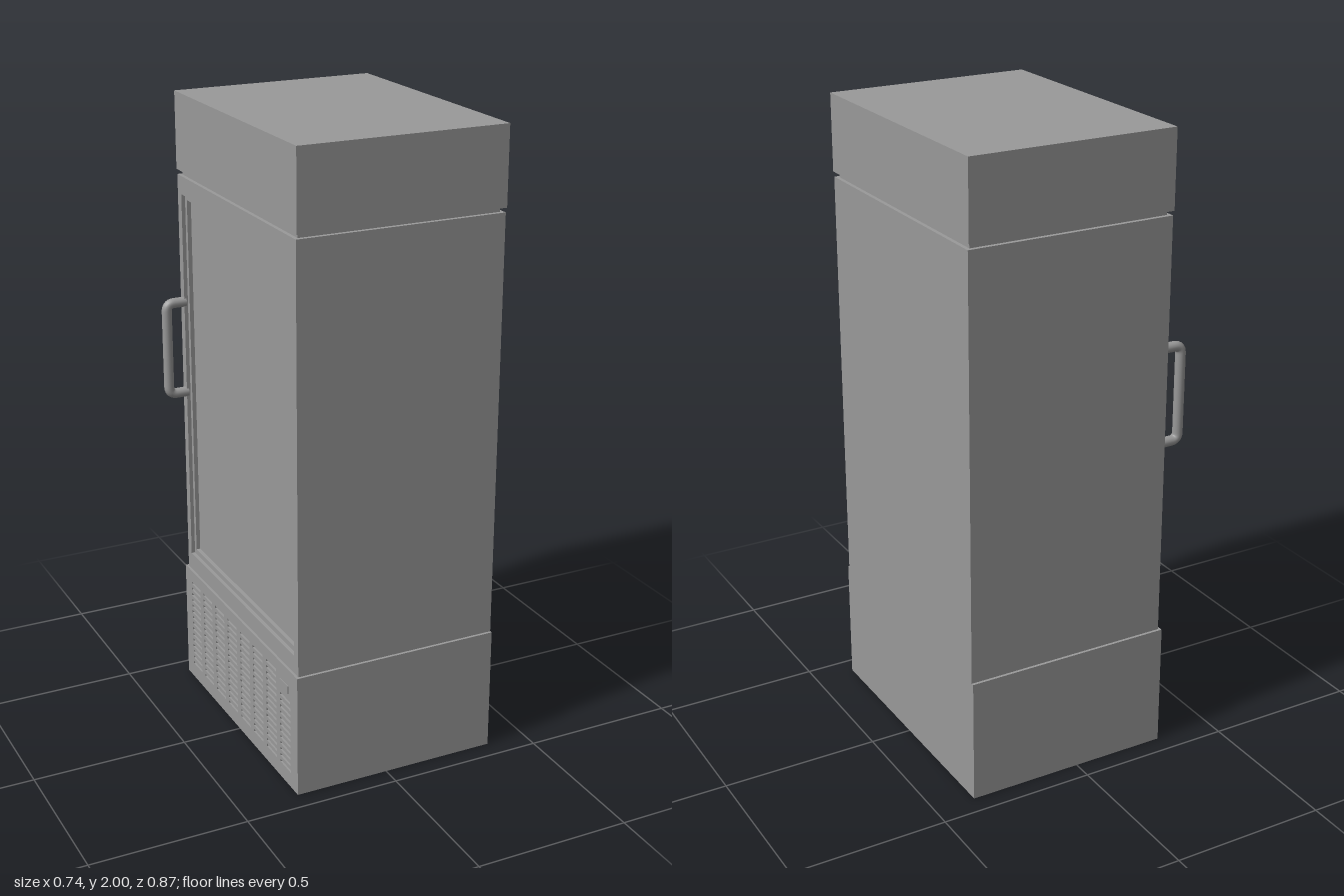
import * as THREE from 'three';

export function createModel() {
  const model = new THREE.Group();
  const grey = new THREE.MeshStandardMaterial({ color: 0x999999 });
  grey.name = 'steel grey';

  const add = (name, geometry) => {
    const mesh = new THREE.Mesh(geometry, grey);
    mesh.name = name;
    model.add(mesh);
    return mesh;
  };

  // Box given by its limits on each axis
  const block = (name, x0, x1, y0, y1, z0, z1) =>
    add(name, new THREE.BoxGeometry(x1 - x0, y1 - y0, z1 - z0))
      .position.set((x0 + x1) / 2, (y0 + y1) / 2, (z0 + z1) / 2);

  // Closed rectangle in the z-y plane
  const rect = (Type, z0, z1, y0, y1) => {
    const r = new Type();
    r.moveTo(z0, y0);
    r.lineTo(z1, y0);
    r.lineTo(z1, y1);
    r.lineTo(z0, y1);
    r.closePath();
    return r;
  };

  // Pierced panel facing -x, from xInner outwards to xOuter
  const panel = (name, xInner, xOuter, outline, holes) => {
    const shape = rect(THREE.Shape, ...outline);
    shape.holes = holes.map((h) => rect(THREE.Path, ...h));
    const geometry = new THREE.ExtrudeGeometry(shape, { depth: xInner - xOuter, bevelEnabled: false });
    geometry.rotateY(-Math.PI / 2);
    add(name, geometry).position.x = xInner;
  };

  // Cabinet body, neck gap and top header
  block('cabinet', -0.272, 0.367, 0.4, 1.742, -0.428, 0.428);
  block('neck', -0.285, 0.355, 1.742, 1.757, -0.415, 0.415);
  block('header', -0.297, 0.367, 1.757, 2, -0.434, 0.434);

  // Door: stepped frame around the recessed pane
  panel('doorSeal', -0.272, -0.285, [-0.428, 0.428, 0.4, 1.742], [[-0.385, 0.385, 0.475, 1.667]]);
  panel('doorFrame', -0.285, -0.297, [-0.428, 0.428, 0.4, 1.742], [[-0.4, 0.4, 0.458, 1.684]]);

  // Base with a slotted vent panel
  block('base', -0.293, 0.367, 0, 0.4, -0.437, 0.437);
  const slots = [];
  const columns = 8, rows = 15, pitch = 0.1, rise = 0.0215;
  for (let c = 0; c < columns; c++) {
    for (let r = 0; r < rows; r++) {
      const z = (c - (columns - 1) / 2) * pitch;
      const y = 0.05 + r * rise;
      if (c === columns - 1 && y > 0.3) continue; // space for the badge
      slots.push([z - 0.037, z + 0.037, y, y + 0.009]);
    }
  }
  panel('ventPanel', -0.293, -0.305, [-0.437, 0.437, 0, 0.4], slots);
  block('badge', -0.308, -0.304, 0.32, 0.345, 0.318, 0.376);

  // Bent tube door handle
  const handlePath = new THREE.CurvePath();
  const v = (x, y) => new THREE.Vector3(x, y, -0.41);
  const hx = -0.354, low = 1.03, high = 1.333, bend = 0.025;
  handlePath.add(new THREE.LineCurve3(v(-0.29, low), v(hx + bend, low)));
  handlePath.add(new THREE.QuadraticBezierCurve3(v(hx + bend, low), v(hx, low), v(hx, low + bend)));
  handlePath.add(new THREE.LineCurve3(v(hx, low + bend), v(hx, high - bend)));
  handlePath.add(new THREE.QuadraticBezierCurve3(v(hx, high - bend), v(hx, high), v(hx + bend, high)));
  handlePath.add(new THREE.LineCurve3(v(hx + bend, high), v(-0.29, high)));
  add('handle', new THREE.TubeGeometry(handlePath, 80, 0.016, 16, false));

  return model;
}
